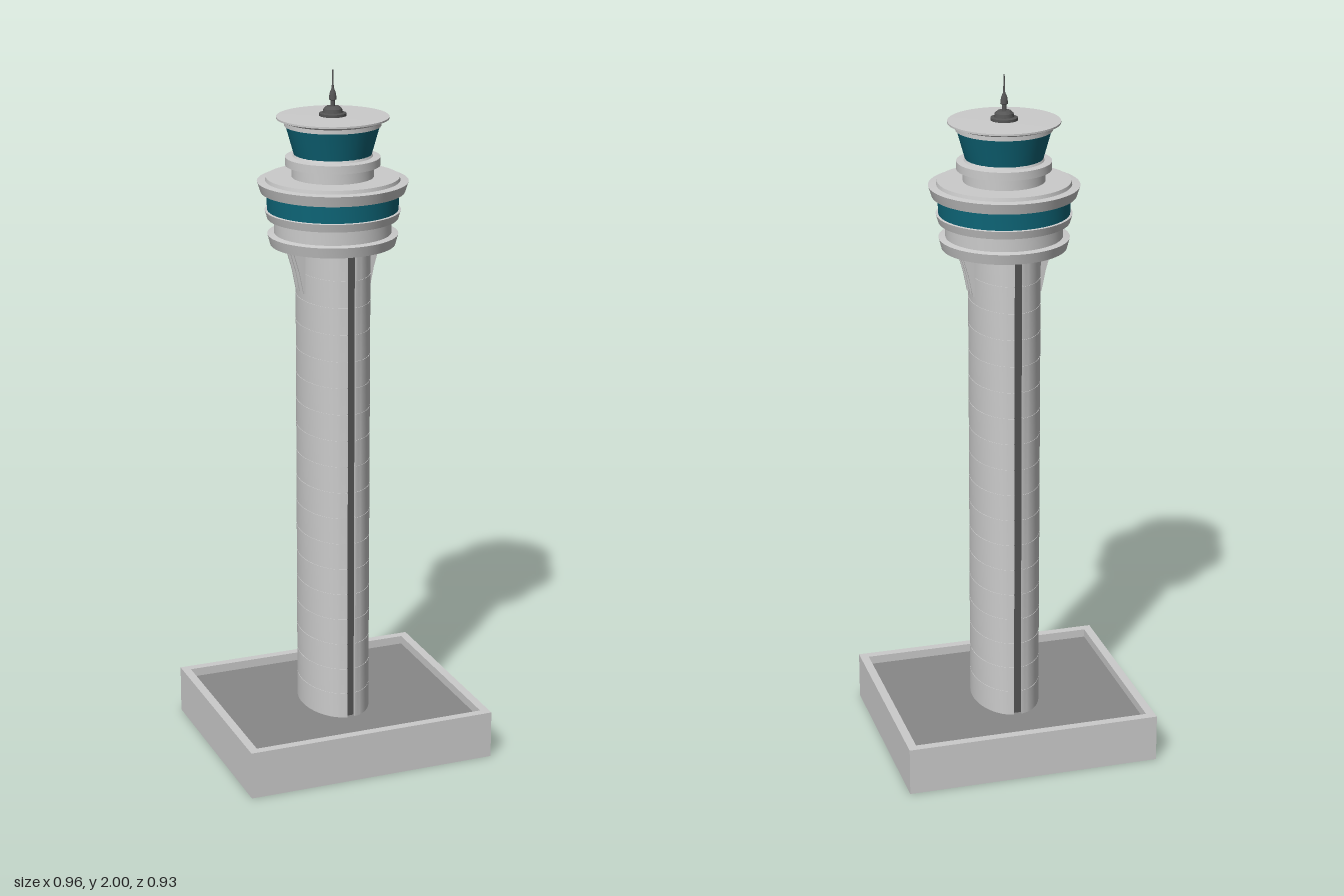
import * as THREE from 'three';
import { toCreasedNormals } from 'three/addons/utils/BufferGeometryUtils.js';

const paint = (color) => new THREE.MeshStandardMaterial({ color });
const grey = paint(0xcccccc);
const dark = paint(0x555555);
const roofing = paint(0x888888);
const glass = paint(0x0e6678);

function add(parent, name, geometry, material, x = 0, y = 0, z = 0) {
  const mesh = new THREE.Mesh(geometry, material);
  mesh.name = name;
  mesh.position.set(x, y, z);
  parent.add(mesh);
  return mesh;
}

// Round part from [radius, height] pairs, listed bottom to top
function turned(parent, name, profile, material, sides = 64) {
  const points = profile.map(([r, y]) => new THREE.Vector2(r, y));
  const geometry = new THREE.LatheGeometry(points, sides);
  return add(parent, name, toCreasedNormals(geometry, 0.4), material);
}

// Upright prism standing on y = 0
function prism(shape, height) {
  const geometry = new THREE.ExtrudeGeometry(shape, { depth: height, bevelEnabled: false });
  geometry.rotateX(-Math.PI / 2);
  return toCreasedNormals(geometry, 0.4);
}

function rectangle(Type, w, d) {
  return new Type([[-w, -d], [w, -d], [w, d], [-w, d]].map(([x, y]) => new THREE.Vector2(x / 2, y / 2)));
}

// Oval shaft outline with a slot at each narrow end
function shaftShape(a, b, slot, slotDepth) {
  const end = Math.acos(slot / a);
  const points = [];
  for (const s of [1, -1]) {
    points.push(new THREE.Vector2(s * slot, -s * (b - slotDepth)));
    for (let i = 0; i <= 32; i++) {
      const t = -end + (2 * end * i) / 32;
      points.push(new THREE.Vector2(s * a * Math.cos(t), s * b * Math.sin(t)));
    }
    points.push(new THREE.Vector2(s * slot, s * (b - slotDepth)));
  }
  return new THREE.Shape(points);
}

export function createModel() {
  const model = new THREE.Group();
  model.name = 'controlTower';

  // Base and shaft share one turned axis
  const lower = new THREE.Group();
  lower.name = 'baseAndShaft';
  lower.rotation.y = Math.PI / 6;
  model.add(lower);

  // Base building with a parapet around a sunken roof
  const W = 0.744, D = 0.64;
  const parapet = rectangle(THREE.Shape, W, D);
  parapet.holes.push(rectangle(THREE.Path, W - 0.05, D - 0.05));
  add(lower, 'baseWalls', prism(parapet, 0.14), grey);
  add(lower, 'baseRoof', new THREE.BoxGeometry(W - 0.05, 0.115, D - 0.05), roofing, 0, 0.0575);

  // Shaft of stacked panels with fine joints
  const rows = 18, bottom = 0.115, pitch = 1.4 / rows;
  add(lower, 'shaftCore', prism(shaftShape(0.096, 0.1465, 0.0125, 0.015), 1.4), grey, 0, bottom);
  const panel = prism(shaftShape(0.0975, 0.148, 0.012, 0.015), pitch - 0.002);
  for (let i = 0; i < rows; i++) add(lower, 'shaftPanel', panel, grey, 0, bottom + i * pitch);

  // Dark strips in the slots, and brackets on the broad sides
  const fin = new THREE.Shape();
  fin.moveTo(0.08, 0).lineTo(0.1, 0).lineTo(0.112, 0.06).lineTo(0.134, 0.135).lineTo(0.08, 0.135);
  const finGeometry = new THREE.ExtrudeGeometry(fin, { depth: 0.006, bevelEnabled: false });
  finGeometry.translate(0, 0, -0.003);
  for (const s of [1, -1]) {
    add(lower, 'slotStrip', new THREE.BoxGeometry(0.024, 1.4, 0.01), dark, 0, bottom + 0.7, s * 0.131);
    for (const z of [-0.03, 0, 0.03]) {
      const bracket = add(lower, 'bracket', finGeometry, grey, 0, 1.38, z);
      if (s < 0) bracket.rotation.y = Math.PI;
    }
  }

  // Lower cab: collar, drum and window band
  turned(model, 'collar', [[0, 1.51], [0.176, 1.51], [0.184, 1.54], [0.165, 1.543]], grey);
  turned(model, 'drum', [[0.165, 1.54], [0.165, 1.588]], grey);
  turned(model, 'windowSill', [[0.16, 1.585], [0.184, 1.585], [0.191, 1.608], [0.18, 1.61]], grey);
  turned(model, 'lowerWindows', [[0.184, 1.607], [0.186, 1.662]], glass);
  turned(model, 'terrace', [
    [0.18, 1.66], [0.202, 1.66], [0.212, 1.69], [0.189, 1.692], [0.187, 1.702], [0, 1.702],
  ], grey);

  // Neck between the cabs
  turned(model, 'neck', [[0.115, 1.7], [0.115, 1.737]], grey);
  turned(model, 'neckRing', [
    [0.11, 1.735], [0.133, 1.735], [0.133, 1.758], [0.112, 1.76], [0.108, 1.768], [0, 1.768],
  ], grey);

  // Upper cab with leaning windows and a wide roof
  turned(model, 'upperWindows', [[0.109, 1.766], [0.132, 1.848]], glass, 36);
  turned(model, 'windowHead', [[0.13, 1.846], [0.135, 1.846], [0.135, 1.858], [0.13, 1.86]], grey);
  turned(model, 'roof', [[0.13, 1.856], [0.157, 1.866], [0.157, 1.871], [0, 1.873]], grey);

  // Roof cap and mast
  turned(model, 'roofCap', [
    [0.038, 1.87], [0.038, 1.88], [0.028, 1.882], [0.026, 1.892], [0.018, 1.899], [0, 1.9],
  ], dark, 32);
  turned(model, 'mast', [
    [0.006, 1.895], [0.006, 1.915], [0.011, 1.918], [0.009, 1.935], [0.003, 1.95], [0.0015, 2], [0, 2],
  ], dark, 16);

  return model;
}
